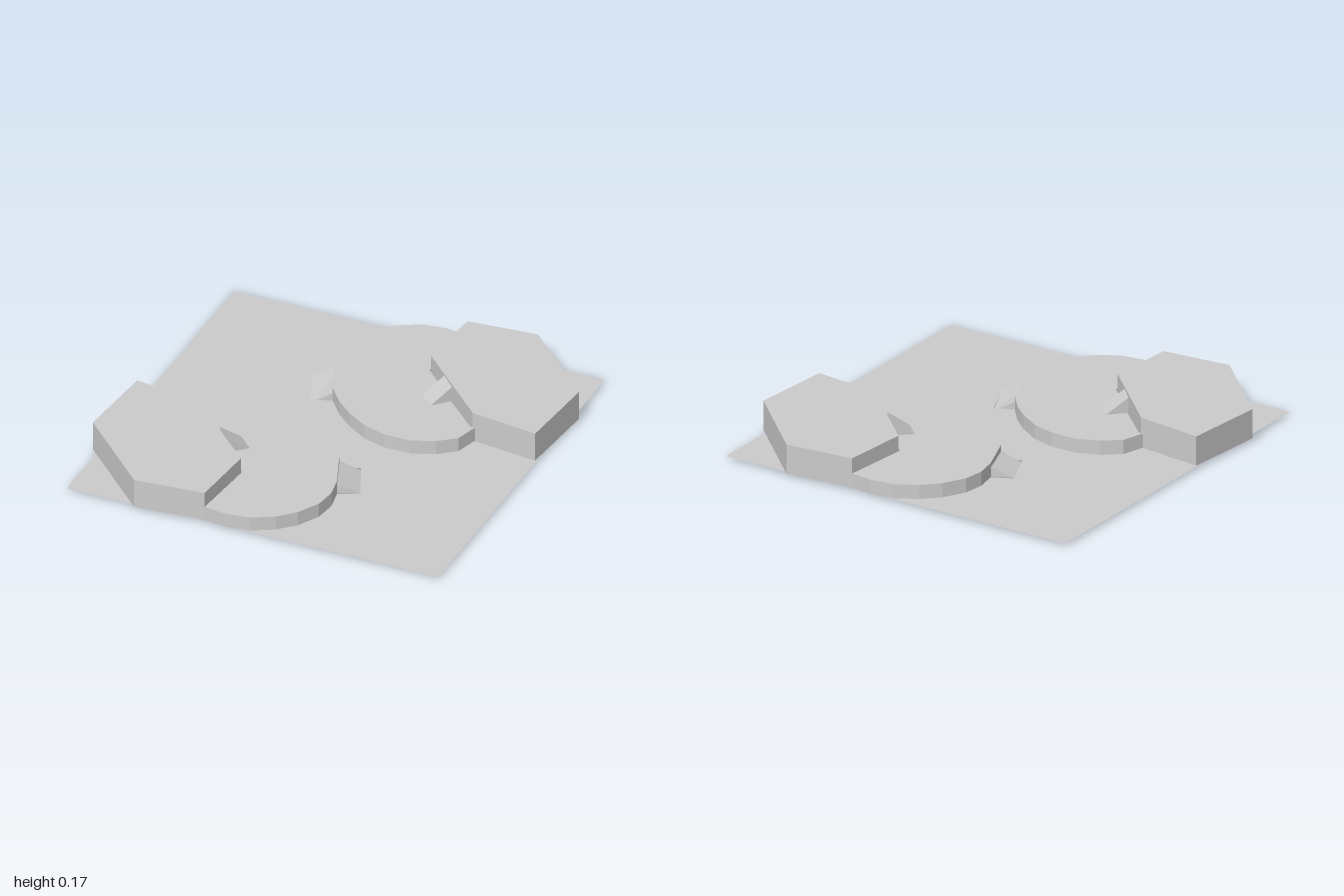
import * as THREE from 'three';

const BASE = 0.015, LOW = 0.088, HIGH = 0.166;
const material = new THREE.MeshStandardMaterial({ color: 0xcccccc, side: THREE.DoubleSide, flatShading: true });

// Footprints as [x, z] corners
const hexagon = [[0.255, -0.96], [0.225, -0.605], [0.615, -0.22], [0.963, -0.17], [1, -0.6], [0.61, -0.99]];
const roundEdge = [[0.14, -0.975], [0.02, -0.96], [-0.09, -0.9], [-0.17, -0.82], [-0.23, -0.71], [-0.245, -0.6],
  [-0.225, -0.49], [-0.14, -0.27], [-0.06, -0.17], [0.03, -0.09], [0.14, -0.02], [0.26, 0.015],
  [0.39, 0.015], [0.51, -0.03], [0.595, -0.1], [0.628, -0.215]];

function meshFrom(name, triangles) {
  const geometry = new THREE.BufferGeometry();
  geometry.setAttribute('position', new THREE.Float32BufferAttribute(triangles.flat(2), 3));
  geometry.computeVertexNormals();
  const mesh = new THREE.Mesh(geometry, material);
  mesh.name = name;
  return mesh;
}

const quad = (a, b, c, d) => [[a, b, c], [a, c, d]];

// Flat polygon at height y, facing up
function cap(outline, y) {
  const points = outline.map(([x, z]) => new THREE.Vector2(x, z));
  return THREE.ShapeUtils.triangulateShape(points, []).map((face) => {
    const [a, b, c] = face.map((i) => points[i]);
    const turn = (b.x - a.x) * (c.y - a.y) - (b.y - a.y) * (c.x - a.x);
    return (turn < 0 ? [a, b, c] : [a, c, b]).map((p) => [p.x, y, p.y]);
  });
}

// Open-bottomed platform: top plus surrounding walls
function platform(name, outline, height) {
  const triangles = cap(outline, height);
  outline.forEach(([x, z], i) => {
    const [u, w] = outline[(i + 1) % outline.length];
    triangles.push(...quad([x, BASE, z], [u, BASE, w], [u, height, w], [x, height, z]));
  });
  return meshFrom(name, triangles);
}

// Sloped quad with triangular cheeks beneath its upper edge
function ramp(name, highA, highB, lowB, lowA) {
  const foot = (high, low) => [high[0], low[1], high[2]];
  return meshFrom(name, [
    ...quad(highA, highB, lowB, lowA),
    [highA, lowA, foot(highA, lowA)],
    [highB, foot(highB, lowB), lowB],
  ]);
}

function createTerrace() {
  const group = new THREE.Group();
  group.name = 'terrace';
  group.add(platform('upperPlatform', hexagon, HIGH));
  // Lower deck wraps the inner sides of the hexagon
  const deck = [[0.255, -0.96], ...roundEdge, [0.605, -0.215], [0.42, -0.392], [0.22, -0.6]];
  group.add(platform('lowerPlatform', deck, LOW));
  group.add(ramp('upperRamp', [0.355, HIGH, -0.47], [0.43, HIGH, -0.39], [0.355, LOW, -0.31], [0.275, LOW, -0.39]));
  group.add(ramp('outerRamp', [-0.17, LOW, -0.5], [-0.08, LOW, -0.29], [-0.235, 0, -0.23], [-0.325, 0.017, -0.44]));
  return group;
}

export function createModel() {
  const model = new THREE.Group();
  model.name = 'terracedArena';
  const turned = (outline) => outline.map(([x, z]) => [-x, -z]);

  for (const angle of [0, Math.PI]) {
    const terrace = createTerrace();
    terrace.rotation.y = angle;
    model.add(terrace);
  }

  // Floor cut away beneath the platforms and outer ramps
  const half = [[-0.97, -0.97], [0.08, -0.97], ...roundEdge.slice(1, 7),
    [-0.325, -0.44], [-0.235, -0.23], ...roundEdge.slice(7), [0.963, -0.17], [0.97, -0.28]];
  const corner = [[0.97, -0.97], [0.63, -0.97], [0.97, -0.63]];
  model.add(meshFrom('floor', [
    ...cap([...half, ...turned(half)], BASE),
    ...cap(corner, BASE),
    ...cap(turned(corner), BASE),
  ]));
  return model;
}
